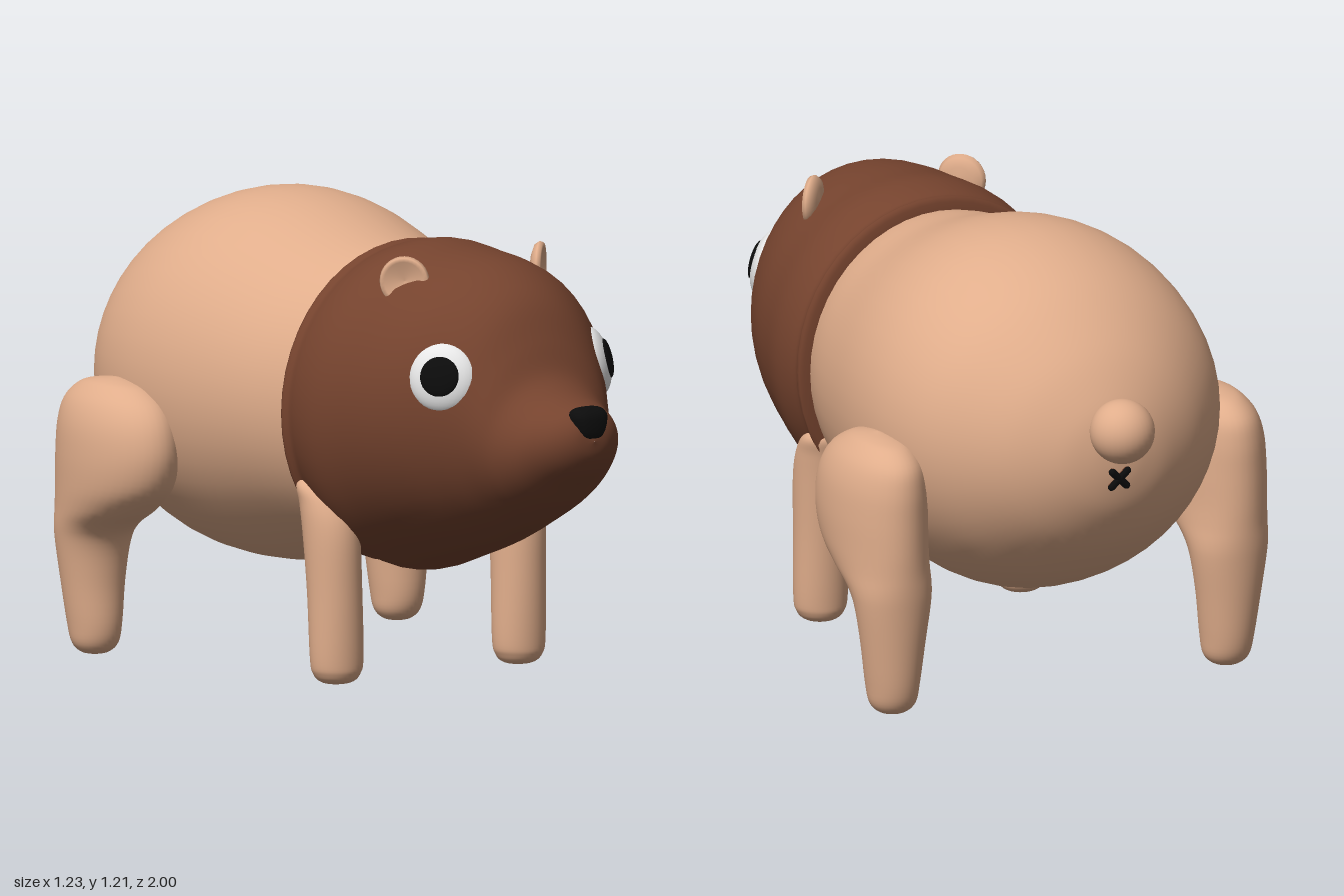
import * as THREE from 'three';

const mat = (name, color) => {
  const m = new THREE.MeshStandardMaterial({ color });
  m.name = name;
  return m;
};

// Smooth skin over elliptical sections [t, c1, c2, r1, r2], t rising.
// Along z: c = (x, y). Along y: c = (z, x).
function loft(sections, axis, rings = 64, sides = 48) {
  const centres = new THREE.CatmullRomCurve3(
    sections.map(s => new THREE.Vector3(s[1], s[2], s[0])), false, 'catmullrom', 0.5);
  const radii = new THREE.CatmullRomCurve3(
    sections.map(s => new THREE.Vector3(s[3], s[4], 0)), false, 'catmullrom', 0.5);
  const pos = [], index = [];
  for (let j = 0; j <= rings; j++) {
    const c = centres.getPoint(j / rings), r = radii.getPoint(j / rings);
    for (let i = 0; i < sides; i++) {
      const a = i / sides * Math.PI * 2;
      const u = c.x + Math.max(r.x, 0.0005) * Math.cos(a);
      const v = c.y + Math.max(r.y, 0.0005) * Math.sin(a);
      if (axis === 'z') pos.push(u, v, c.z);
      else pos.push(v, c.z, u);
      if (j < rings) {
        const k = (i + 1) % sides, p = j * sides, q = p + sides;
        index.push(p + i, p + k, q + i, p + k, q + k, q + i);
      }
    }
  }
  const g = new THREE.BufferGeometry();
  g.setAttribute('position', new THREE.Float32BufferAttribute(pos, 3));
  g.setIndex(index);
  g.computeVertexNormals();
  return g;
}

// Section from its limits: [z, top, bottom, half width]
const zSection = ([z, top, bottom, w]) => [z, 0, (top + bottom) / 2, w, (top - bottom) / 2];
// Section from its limits: [y, zMin, zMax, xMin, xMax]
const ySection = ([y, z0, z1, x0, x1]) =>
  [y, (z0 + z1) / 2, (x0 + x1) / 2, (z1 - z0) / 2, (x1 - x0) / 2];

export function createModel() {
  const tan = mat('tan skin', 0xe0ad8b);
  const brown = mat('brown mask', 0x75432e);
  const white = mat('eye white', 0xebebeb);
  const black = mat('black', 0x0c0c0c);
  const model = new THREE.Group();
  const add = (name, geometry, material, parent = model) => {
    const m = new THREE.Mesh(geometry, material);
    m.name = name;
    parent.add(m);
    return m;
  };

  // Plump body, its front end tucked into the head
  add('body', loft([
    [-0.9, 0.72, 0.72, 0], [-0.892, 0.8, 0.64, 0.08], [-0.865, 0.88, 0.555, 0.17],
    [-0.8, 0.985, 0.455, 0.28], [-0.7, 1.085, 0.365, 0.378], [-0.6, 1.15, 0.305, 0.44],
    [-0.48, 1.195, 0.26, 0.473], [-0.35, 1.212, 0.244, 0.48], [-0.2, 1.195, 0.252, 0.464],
    [0, 1.135, 0.295, 0.42], [0.15, 1.105, 0.325, 0.372], [0.22, 1.06, 0.36, 0.33],
    [0.25, 0.72, 0.72, 0],
  ].map(zSection), 'z'), tan);

  // Head with a stepped brow and a low muzzle
  const headGeo = loft([
    [0.145, 0.72, 0.72, 0], [0.148, 1.1, 0.325, 0.365], [0.19, 1.135, 0.312, 0.397],
    [0.28, 1.156, 0.286, 0.408], [0.38, 1.15, 0.315, 0.392], [0.48, 1.143, 0.35, 0.37],
    [0.57, 1.128, 0.385, 0.335], [0.65, 1.09, 0.42, 0.285], [0.71, 1.035, 0.447, 0.243],
    [0.76, 0.945, 0.472, 0.213], [0.8, 0.865, 0.495, 0.19], [0.85, 0.825, 0.53, 0.167],
    [0.9, 0.808, 0.575, 0.14], [0.95, 0.79, 0.62, 0.1], [0.98, 0.76, 0.665, 0.055],
    [0.99, 0.71, 0.71, 0],
  ].map(zSection), 'z', 90);
  add('head', headGeo, brown);

  // Nose, wider at the top
  const noseGeo = new THREE.SphereGeometry(1, 20, 14);
  const np = noseGeo.attributes.position;
  for (let i = 0; i < np.count; i++) {
    const box = v => Math.sign(v) * Math.pow(Math.abs(v), 0.7);
    const y = box(np.getY(i));
    np.setXYZ(i, box(np.getX(i)) * (0.051 + 0.012 * y), y * 0.046, np.getZ(i) * 0.042);
  }
  noseGeo.computeVertexNormals();
  add('nose', noseGeo, black).position.set(0, 0.753, 0.958);

  // Tail and the small crossed mark below it
  add('tail', new THREE.SphereGeometry(0.085, 32, 24), tan).position.set(0, 0.8, -0.915);
  const mark = new THREE.Group();
  mark.name = 'rearMark';
  mark.position.set(0, 0.668, -0.893);
  mark.rotation.x = -0.12;
  model.add(mark);
  for (const s of [-1, 1]) {
    const under = add('markBase', new THREE.CapsuleGeometry(0.011, 0.055, 4, 8), brown, mark);
    under.rotation.z = s * 0.8;
    const over = add('markBar', new THREE.CapsuleGeometry(0.01, 0.06, 4, 8), black, mark);
    over.rotation.z = s * 0.8;
    over.position.z = -0.006;
  }

  // Paired parts: x positions mirror with s
  for (const s of [1, -1]) {
    const side = s > 0 ? 'left' : 'right';
    const mirrorX = rows => rows.map(ySection).map(([y, z, x, rz, rx]) => [y, z, s * x, rz, rx]);

    add(side + 'FrontLeg', loft(mirrorX([
      [0.008, 0.25, 0.25, 0.292, 0.292], [0.014, 0.215, 0.29, 0.25, 0.332],
      [0.035, 0.195, 0.31, 0.228, 0.355], [0.08, 0.188, 0.316, 0.219, 0.364],
      [0.25, 0.175, 0.318, 0.222, 0.366], [0.4, 0.158, 0.315, 0.225, 0.37],
      [0.48, 0.147, 0.29, 0.23, 0.37], [0.53, 0.142, 0.24, 0.25, 0.365],
      [0.56, 0.18, 0.18, 0.32, 0.32],
    ]), 'y', 48, 32), tan);

    add(side + 'HindLeg', loft(mirrorX([
      [0.004, -0.55, -0.55, 0.483, 0.483], [0.01, -0.585, -0.515, 0.447, 0.52],
      [0.035, -0.61, -0.49, 0.422, 0.545], [0.09, -0.625, -0.478, 0.413, 0.556],
      [0.2, -0.638, -0.476, 0.4, 0.572], [0.3, -0.648, -0.463, 0.385, 0.588],
      [0.35, -0.652, -0.425, 0.378, 0.597], [0.4, -0.654, -0.335, 0.372, 0.606],
      [0.46, -0.656, -0.26, 0.368, 0.613], [0.54, -0.656, -0.23, 0.366, 0.615],
      [0.62, -0.653, -0.238, 0.37, 0.607], [0.68, -0.637, -0.275, 0.385, 0.585],
      [0.72, -0.59, -0.34, 0.415, 0.55], [0.735, -0.53, -0.4, 0.445, 0.52],
      [0.742, -0.46, -0.46, 0.48, 0.48],
    ]), 'y', 64, 40), tan);

    // Eye: flattened ball with a flatter pupil on its outer face
    const eye = new THREE.Group();
    eye.name = side + 'Eye';
    eye.position.set(s * 0.241, 0.857, 0.652);
    eye.lookAt(s * (0.241 + 0.75), 0.857 + 0.22, 0.652 + 0.6);
    model.add(eye);
    add('eyeball', new THREE.SphereGeometry(1, 32, 20), white, eye).scale.set(0.092, 0.092, 0.044);
    const pupil = add('pupil', new THREE.SphereGeometry(1, 24, 16), black, eye);
    pupil.scale.set(0.052, 0.052, 0.014);
    pupil.position.z = 0.036;

    // Ear: thick round dish facing forward and outward
    const dish = [[0, -0.018], [0.035, -0.016], [0.058, -0.008], [0.066, 0.004],
      [0.062, 0.014], [0.052, 0.015], [0.035, 0.005], [0, 0]]
      .map(p => new THREE.Vector2(...p));
    const earGeo = new THREE.LatheGeometry(dish, 32).rotateX(Math.PI / 2);
    const ear = add(side + 'Ear', earGeo, tan);
    ear.position.set(s * 0.213, 1.082, 0.445);
    ear.rotation.y = s * 0.8;
  }
  return model;
}
